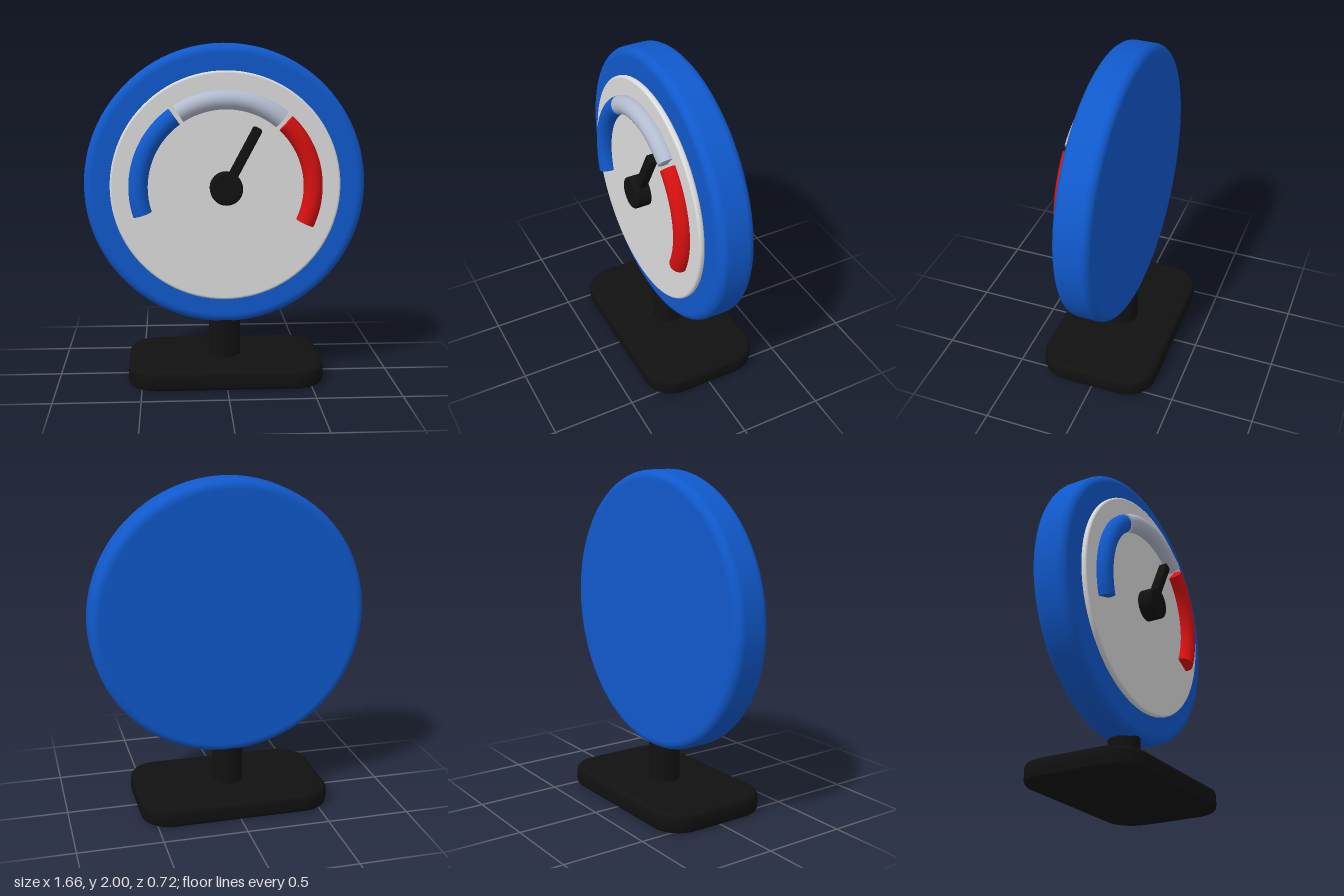
import * as THREE from 'three';
import { toCreasedNormals } from 'three/addons/utils/BufferGeometryUtils.js';

const CENTER_Y = 1.17;

function paint(name, color) {
  const m = new THREE.MeshStandardMaterial({ color });
  m.name = name;
  return m;
}

function part(name, geometry, material, parent) {
  const mesh = new THREE.Mesh(geometry, material);
  mesh.name = name;
  parent.add(mesh);
  return mesh;
}

// Disc with filleted rims, facing +z, spanning z0..z1
function roundedDisc(radius, z0, z1, fillet, segments = 96) {
  const pts = [new THREE.Vector2(0, z0), new THREE.Vector2(radius - fillet - 0.002, z0)];
  const steps = 8;
  for (const [z, start] of [[z0 + fillet, -Math.PI / 2], [z1 - fillet, 0]]) {
    for (let i = 0; i <= steps; i++) {
      const a = start + (i / steps) * Math.PI / 2;
      pts.push(new THREE.Vector2(radius - fillet + Math.cos(a) * fillet, z + Math.sin(a) * fillet));
    }
  }
  pts.push(new THREE.Vector2(radius - fillet - 0.002, z1), new THREE.Vector2(0, z1));
  return new THREE.LatheGeometry(pts, segments).rotateX(Math.PI / 2);
}

// Rounded rectangle slab with bevelled edges, spanning z = 0..depth
function roundedSlab(w, h, depth, corner, bevel) {
  const x = w / 2 - bevel, y = h / 2 - bevel, r = corner - bevel;
  const s = new THREE.Shape();
  s.absarc(x - r, y - r, r, 0, Math.PI / 2);
  s.absarc(-x + r, y - r, r, Math.PI / 2, Math.PI);
  s.absarc(-x + r, -y + r, r, Math.PI, Math.PI * 1.5);
  s.absarc(x - r, -y + r, r, Math.PI * 1.5, Math.PI * 2);
  const g = new THREE.ExtrudeGeometry(s, {
    depth: depth - 2 * bevel, bevelThickness: bevel, bevelSize: bevel, bevelSegments: 5, curveSegments: 12,
  });
  g.translate(0, 0, bevel);
  return toCreasedNormals(g, 0.6);
}

// Tubular scale band with flat end caps, angles in degrees
function scaleBand(name, from, to, material, parent) {
  const R = 0.51, r = 0.056;
  const band = new THREE.Group();
  band.name = name;
  band.position.z = 0.165;
  const a0 = THREE.MathUtils.degToRad(from), a1 = THREE.MathUtils.degToRad(to);
  part(name + 'Tube', new THREE.TorusGeometry(R, r, 20, 40, a1 - a0).rotateZ(a0), material, band);
  for (const [a, turn] of [[a0, Math.PI / 2], [a1, -Math.PI / 2]]) {
    const cap = new THREE.CircleGeometry(r, 20).rotateX(turn).translate(R, 0, 0).rotateZ(a);
    part(name + 'Cap', cap, material, band);
  }
  parent.add(band);
}

export function createModel() {
  const blue = paint('blue', 0x1059cc);
  const white = paint('dialWhite', 0xdcdcdc);
  const grey = paint('paleGrey', 0xb3bccf);
  const red = paint('red', 0xd91010);
  const black = paint('black', 0x111111);

  const model = new THREE.Group();
  model.name = 'gaugeOnStand';

  // Stand
  const base = roundedSlab(1.16, 0.72, 0.12, 0.18, 0.03).rotateX(-Math.PI / 2);
  part('base', base, black, model);
  part('post', new THREE.CylinderGeometry(0.095, 0.095, 0.34, 40).translate(0, 0.27, 0), black, model);

  // Dial head
  const head = new THREE.Group();
  head.name = 'head';
  head.position.y = CENTER_Y;
  model.add(head);
  part('housing', roundedDisc(0.83, -0.11, 0.11, 0.05), blue, head);
  part('dialFace', roundedDisc(0.675, 0.117, 0.152, 0.014), white, head);

  // Coloured scale
  scaleBand('lowBand', 125.8, 197.5, blue, head);
  scaleBand('middleBand', 50.8, 122.5, grey, head);
  scaleBand('highBand', -24.7, 47, red, head);

  // Pointer
  part('hub', roundedDisc(0.095, 0.14, 0.243, 0.012, 40), black, head);
  const needle = part('needle', roundedSlab(0.056, 0.395, 0.056, 0.014, 0.01), black, head);
  needle.geometry.translate(0, 0.1975, 0.16);
  needle.rotation.z = THREE.MathUtils.degToRad(-28);

  return model;
}
